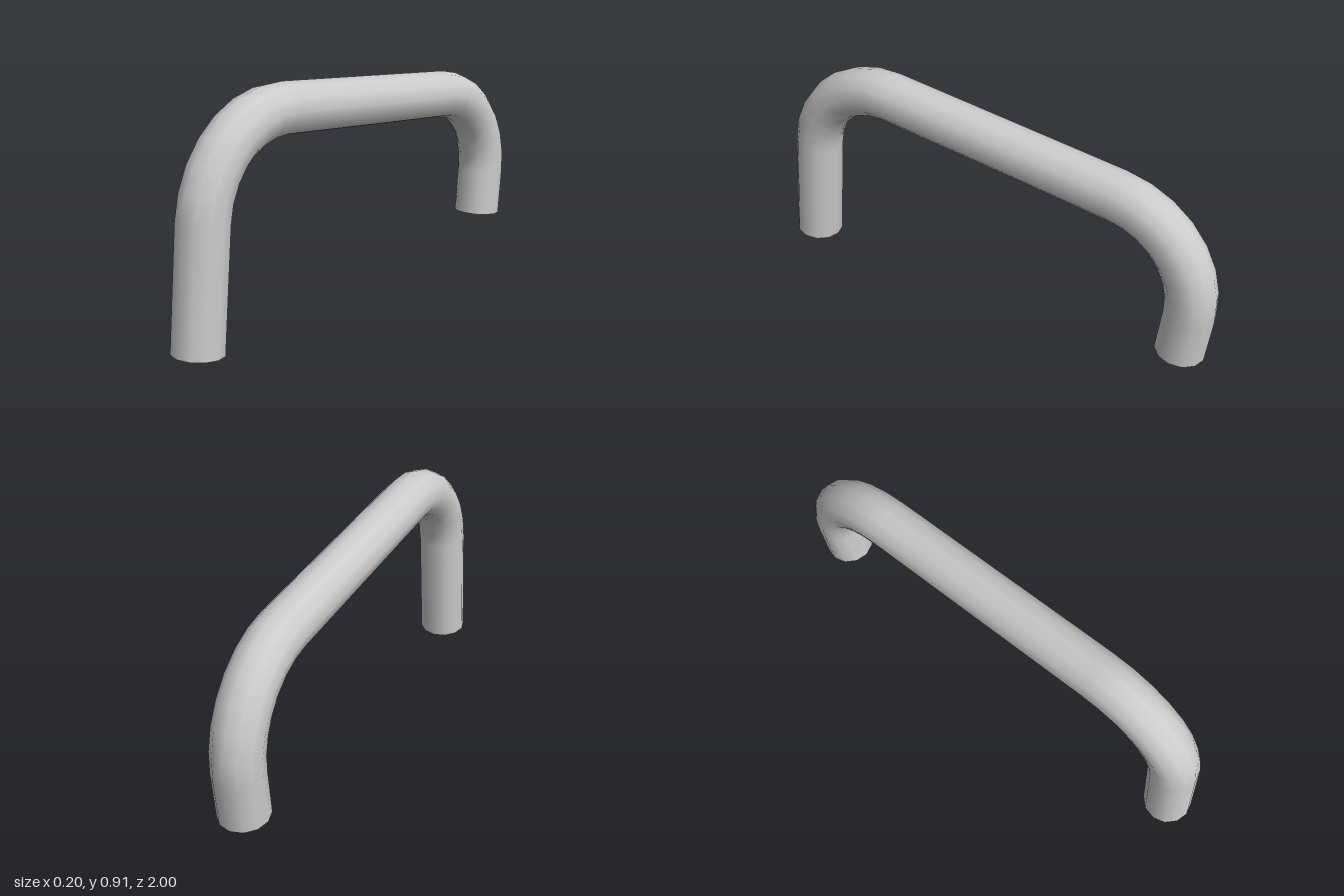
import * as THREE from 'three';

const RADIUS = 0.1;   // tube radius
const SIDES = 12;     // facets around the tube
const BEND = 0.37;    // centre-line radius of both bends
const STEPS = 7;      // segments per 90 degree bend
const TILT = Math.atan(0.1); // whole handle leans slightly to the back

// Centre-line rings: position (z, y) and the angle of the outward normal in the z-y plane
function centreLine() {
  const rings = [{ z: 0.9, y: 0.01, a: TILT }];
  const bend = (cz, cy, start) => {
    for (let i = 0; i <= STEPS; i++) {
      const a = start + (i / STEPS) * Math.PI / 2;
      rings.push({ z: cz + BEND * Math.cos(a), y: cy + BEND * Math.sin(a), a });
    }
  };
  bend(0.485, 0.447, TILT);                 // front bend
  bend(-0.532, 0.344, TILT + Math.PI / 2);  // back bend
  rings.push({ z: -0.88, y: 0.115, a: TILT + Math.PI });
  return rings;
}

// Open tube swept along the rings
function sweepTube(rings) {
  const pos = [], nor = [], idx = [];
  rings.forEach(({ z, y, a }, i) => {
    for (let j = 0; j <= SIDES; j++) {
      const t = (j / SIDES) * Math.PI * 2;
      const nx = Math.cos(t), ny = Math.sin(t) * Math.sin(a), nz = Math.sin(t) * Math.cos(a);
      pos.push(RADIUS * nx, y + RADIUS * ny, z + RADIUS * nz);
      nor.push(nx, ny, nz);
      if (i < rings.length - 1 && j < SIDES) {
        const p = i * (SIDES + 1) + j, q = p + SIDES + 1;
        idx.push(p, q, p + 1, q, q + 1, p + 1);
      }
    }
  });
  const geo = new THREE.BufferGeometry();
  geo.setAttribute('position', new THREE.Float32BufferAttribute(pos, 3));
  geo.setAttribute('normal', new THREE.Float32BufferAttribute(nor, 3));
  geo.setIndex(idx);
  return geo;
}

export function createModel() {
  const group = new THREE.Group();
  group.name = 'handle';
  const material = new THREE.MeshStandardMaterial({ color: 0xcccccc, side: THREE.DoubleSide });
  const tube = new THREE.Mesh(sweepTube(centreLine()), material);
  tube.name = 'bentTube';
  group.add(tube);
  return group;
}
